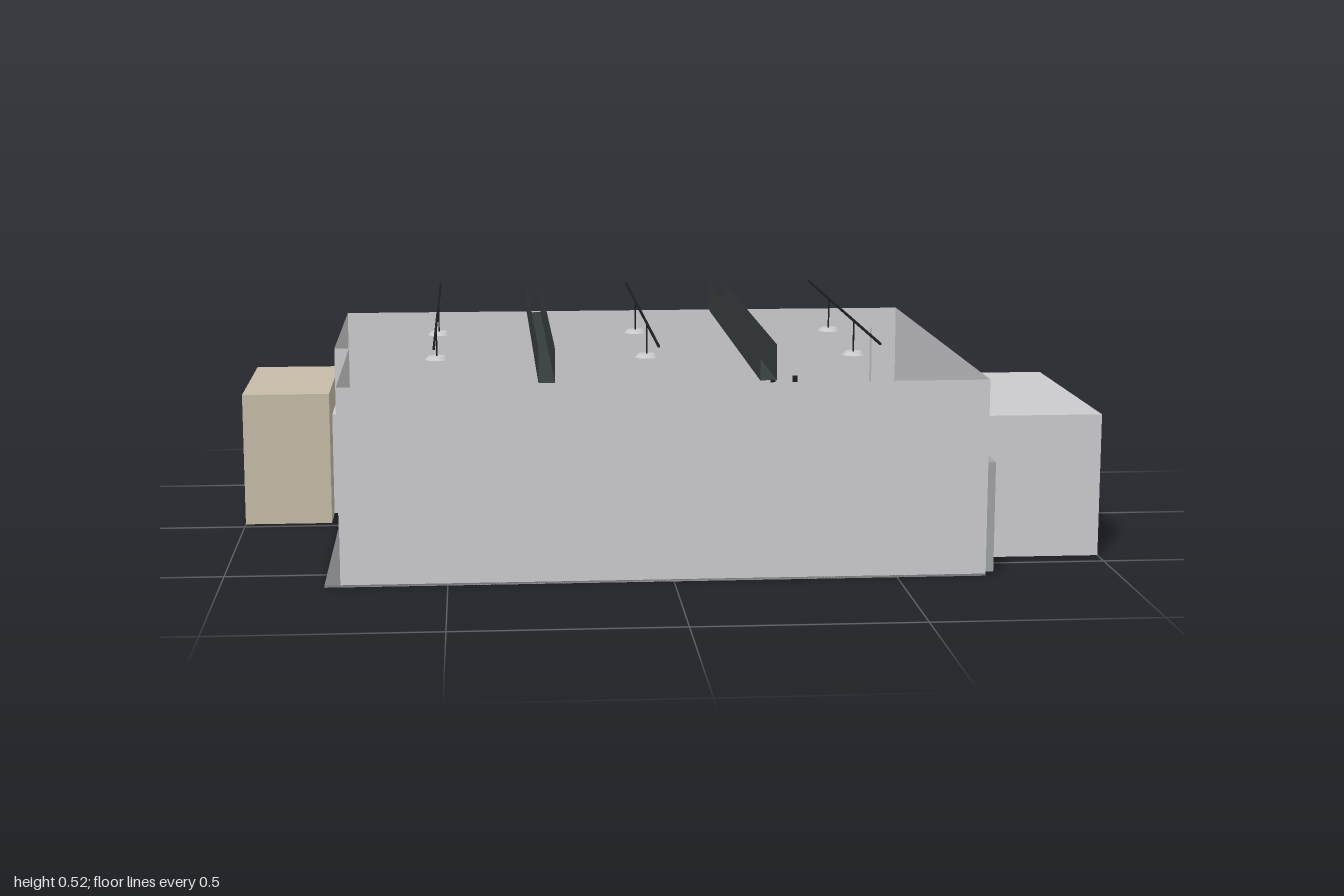
import * as THREE from 'three';

export function createModel() {
  const model = new THREE.Group();
  const mat = (name, color, side = THREE.FrontSide) => {
    const m = new THREE.MeshStandardMaterial({ color, side });
    m.name = name;
    return m;
  };
  const wallGrey = mat('wall grey', 0xcbcbcd, THREE.DoubleSide);
  const floorGrey = mat('floor grey', 0x7c7d7e);
  const beamDark = mat('beam charcoal', 0x363c3d, THREE.DoubleSide);
  const tan = mat('tan', 0xc5bba7);
  const doorGrey = mat('door grey', 0x9ea2a2);
  const black = mat('black', 0x1c1e1f);

  const add = (name, geometry, material, x = 0, y = 0, z = 0) => {
    const mesh = new THREE.Mesh(geometry, material);
    mesh.name = name;
    mesh.position.set(x, y, z);
    model.add(mesh);
    return mesh;
  };
  // Box given by its limits on each axis
  const box = (name, material, [x0, x1], [y0, y1], [z0, z1]) =>
    add(name, new THREE.BoxGeometry(x1 - x0, y1 - y0, z1 - z0), material,
      (x0 + x1) / 2, (y0 + y1) / 2, (z0 + z1) / 2);
  // Upright sheet from u0 to u1, with rectangular holes [u0, u1, v0, v1]
  const H = 0.445;
  const sheet = (name, u0, u1, holes = []) => {
    const rect = (T, a, b, c, d) => {
      const p = new T();
      p.moveTo(a, c); p.lineTo(b, c); p.lineTo(b, d); p.lineTo(a, d); p.closePath();
      return p;
    };
    const shape = rect(THREE.Shape, u0, u1, 0, H);
    holes.forEach((h) => shape.holes.push(rect(THREE.Path, ...h)));
    return add(name, new THREE.ShapeGeometry(shape), wallGrey);
  };
  const sideSheet = (name, x, z0, z1, holes) => {
    const m = sheet(name, z0, z1, holes);
    m.rotation.y = -Math.PI / 2;
    m.position.x = x;
  };

  // Floor
  box('floor', floorGrey, [-0.77, 0.70], [0, 0.005], [-0.583, 0.617]);

  // Walls, with a small jog in the right wall
  const doorways = [[-0.35, -0.25], [-0.23, -0.12]];
  sheet('frontWall', -0.735, 0.70).position.z = 0.617;
  sheet('backWall', -0.77, 0.70, [[0.30, 0.64, 0.21, 0.395]]).position.z = -0.583;
  sheet('wallJog', -0.77, -0.735).position.z = 0.05;
  sideSheet('leftWall', 0.70, -0.583, 0.617);
  sideSheet('rightWallRear', -0.77, -0.583, 0.05,
    doorways.map(([a, b]) => [a + 0.01, b - 0.01, 0.006, 0.245]));
  sideSheet('rightWallFront', -0.735, 0.05, 0.617);
  box('skirting', wallGrey, [-0.765, 0.695], [0.005, 0.025], [-0.582, -0.574]);

  // Niche behind the back wall
  box('nicheBack', wallGrey, [0.30, 0.64], [0.21, 0.395], [-0.62, -0.616]);
  for (const y of [0.21, 0.391]) box('nicheShelf', wallGrey, [0.30, 0.64], [y, y + 0.004], [-0.618, -0.583]);
  for (const x of [0.30, 0.636]) box('nicheSide', wallGrey, [x, x + 0.004], [0.21, 0.395], [-0.618, -0.583]);
  for (const x of [0.37, 0.43]) {
    add('nicheBottle', new THREE.CylinderGeometry(0.007, 0.007, 0.045, 8), black, x, 0.237, -0.598);
  }

  // Side rooms
  box('leftRoom', wallGrey, [0.722, 1], [0, 0.332], [-0.17, 0.443]);
  box('rightRoom', tan, [-1, -0.79], [0, 0.322], [-0.46, -0.028]);

  // Doors in the left wall
  for (const [a, b] of [[0.025, 0.225], [0.49, 0.60]]) {
    box('leftDoor', doorGrey, [0.694, 0.721], [0.005, 0.255], [a, b]);
  }
  // Open door frames leading to the right room
  for (const [a, b] of doorways) {
    box('doorHead', wallGrey, [-0.789, -0.768], [0.245, 0.255], [a, b]);
    for (const z of [a, b - 0.01]) box('doorJamb', wallGrey, [-0.789, -0.768], [0.005, 0.245], [z, z + 0.01]);
  }
  box('wallPanel', wallGrey, [-0.768, -0.758], [0.17, 0.21], [-0.10, -0.06]);

  // Switches
  for (const z of [0.26, 0.35, 0.47]) box('leftSwitch', black, [0.688, 0.699], [0.13, 0.15], [z, z + 0.01]);
  box('rightSwitch', black, [-0.765, -0.755], [0.13, 0.15], [0.065, 0.08]);

  // Air units high on the front wall
  for (const x of [-0.45, -0.02, 0.495]) {
    box('airUnit', wallGrey, [x - 0.053, x + 0.053], [0.385, 0.43], [0.595, 0.615]);
  }

  // Open-topped beams above the walls
  for (const x of [-0.278, 0.21]) {
    for (const s of [-1, 1]) {
      const side = add('beamSide', new THREE.PlaneGeometry(1.15, 0.08), beamDark, x + s * 0.018, 0.485, 0.02);
      side.rotation.y = Math.PI / 2;
    }
    const web = add('beamBase', new THREE.PlaneGeometry(0.036, 1.15), beamDark, x, 0.446, 0.02);
    web.rotation.x = -Math.PI / 2;
  }

  // Rails with hanging lamps
  for (const x of [-0.523, -0.032, 0.458]) {
    box('lampRail', black, [x - 0.0025, x + 0.0025], [0.521, 0.525], [-0.555, 0.59]);
    for (const z of [-0.187, 0.215]) {
      add('lampDisc', new THREE.CylinderGeometry(0.02, 0.027, 0.008, 16), wallGrey, x, 0.446, z);
      add('lampStem', new THREE.CylinderGeometry(0.002, 0.002, 0.075, 6), black, x, 0.486, z);
    }
  }
  return model;
}
